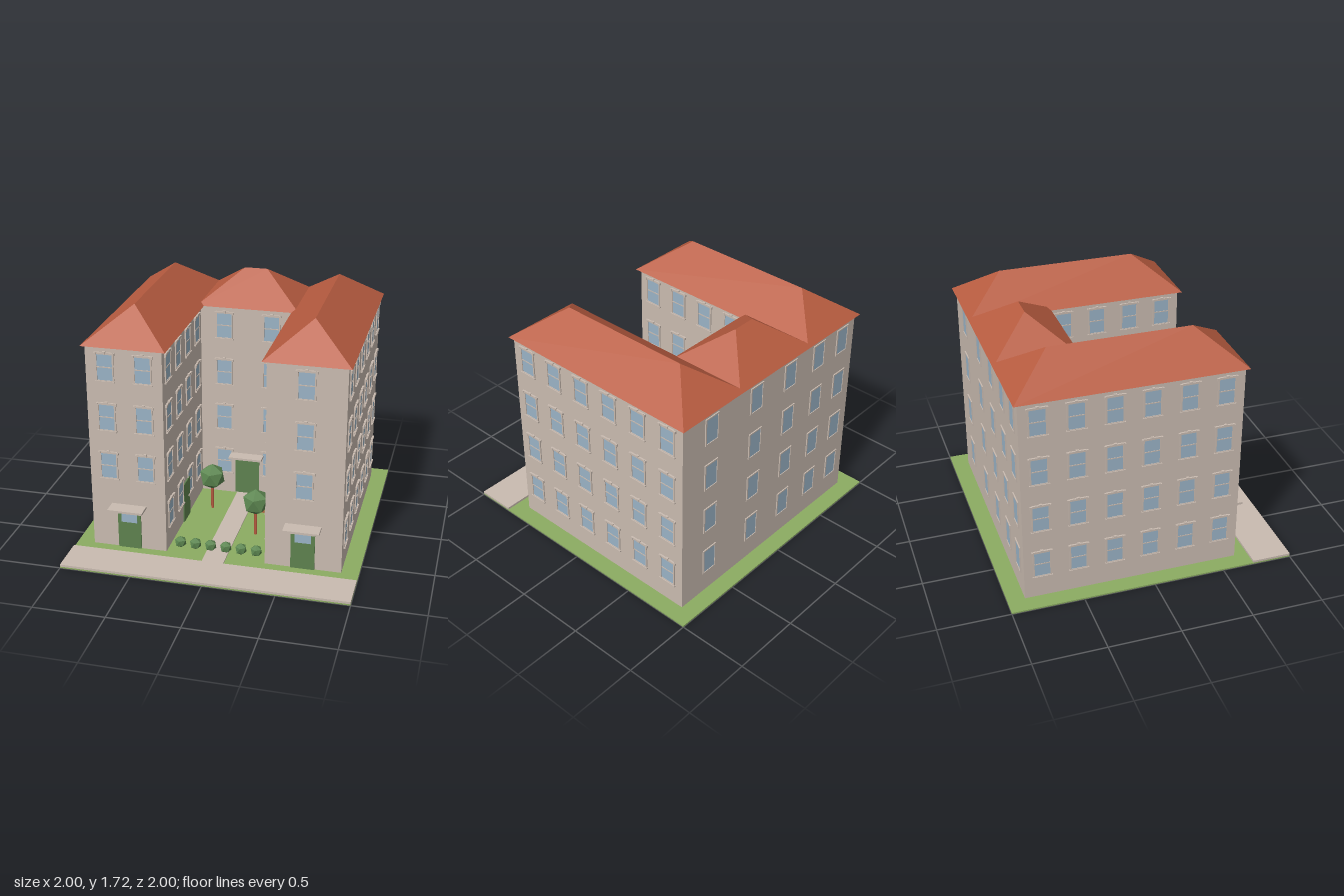
import * as THREE from 'three';
import { mergeGeometries } from 'three/addons/utils/BufferGeometryUtils.js';

const material = (name, color, flat = false) => {
  const m = new THREE.MeshStandardMaterial({ color, flatShading: flat });
  m.name = name;
  return m;
};

// Box geometry given by its limits
function boxGeo(x0, x1, y0, y1, z0, z1) {
  return new THREE.BoxGeometry(x1 - x0, y1 - y0, z1 - z0)
    .translate((x0 + x1) / 2, (y0 + y1) / 2, (z0 + z1) / 2);
}

// Hip roof with 45 degree hips in plan, closed underneath
function hipRoofGeo(x0, x1, z0, z1, y0, y1) {
  const w = x1 - x0, d = z1 - z0, r = Math.min(w, d) / 2;
  const a = [x0, y0, z0], b = [x1, y0, z0], c = [x1, y0, z1], e = [x0, y0, z1];
  const p = [x0 + r, y1, z0 + r], q = [x1 - r, y1, z1 - r];
  const tris = d > w
    ? [[b, a, p], [e, c, q], [c, b, p], [c, p, q], [a, e, q], [a, q, p]]
    : [[a, e, p], [c, b, q], [e, c, q], [e, q, p], [b, a, p], [b, p, q]];
  tris.push([a, b, c], [a, c, e]);
  const geo = new THREE.BufferGeometry();
  geo.setAttribute('position', new THREE.Float32BufferAttribute(tris.flat(2), 3));
  geo.computeVertexNormals();
  return geo;
}

// Rectangular frame around the glass, on z = 0
function frameGeo(w, h, border, depth) {
  const rect = (P, a, b) => {
    const s = new P();
    s.moveTo(-a, -b); s.lineTo(a, -b); s.lineTo(a, b); s.lineTo(-a, b); s.closePath();
    return s;
  };
  const shape = rect(THREE.Shape, w / 2 + border, h / 2 + border);
  shape.holes.push(rect(THREE.Path, w / 2, h / 2));
  return new THREE.ExtrudeGeometry(shape, { depth, bevelEnabled: false });
}

export function createModel() {
  const stone = material('stone', 0xc9bbb0);
  const tile = material('roof tile', 0xb85c40);
  const grass = material('grass', 0x8cac62);
  const glass = material('window glass', 0x9ab3c6);
  const green = material('door green', 0x5e824f);
  const leaf = material('leaf', 0x5c8650, true);

  const model = new THREE.Group();
  const add = (parent, name, geo, mat) => {
    const m = new THREE.Mesh(geo, mat);
    m.name = name;
    parent.add(m);
    return m;
  };
  const box = (name, mat, ...b) => add(model, name, boxGeo(...b), mat);

  // Grounds
  box('lawn', grass, -1, 1, 0, 0.01, -1, 1);
  box('pavement', stone, -1, 1, 0.01, 0.026, 0.725, 1);
  box('path', stone, -0.076, 0.076, 0.01, 0.018, -0.35, 0.725);

  // Walls and roofs
  for (const s of [-1, 1]) {
    box('wingWalls', stone, Math.min(s * 0.35, s * 0.88), Math.max(s * 0.35, s * 0.88), 0.01, 1.5, -0.88, 0.63);
    add(model, 'wingRoof', hipRoofGeo(s * 0.6125 - 0.2925, s * 0.6125 + 0.2925, -0.907, 0.655, 1.5, 1.72), tile);
  }
  box('middleWalls', stone, -0.35, 0.35, 0.01, 1.5, -0.88, -0.35);
  add(model, 'middleRoof', hipRoofGeo(-0.375, 0.375, -0.907, -0.322, 1.5, 1.72), tile);

  // Windows: frame, sash bar, sill, lintel with end blocks and keystone
  const W = 0.107, H = 0.185;
  const frame = frameGeo(W, H, 0.01, 0.008);
  const trim = mergeGeometries([
    boxGeo(-W / 2, W / 2, -0.003, 0.004, 0.001, 0.006),
    boxGeo(-0.069, 0.069, -0.107, -0.097, 0, 0.014),
    boxGeo(-0.062, 0.062, 0.092, 0.106, 0, 0.012),
    boxGeo(-0.072, -0.056, 0.086, 0.104, 0, 0.014),
    boxGeo(0.056, 0.072, 0.086, 0.104, 0, 0.014),
    boxGeo(-0.01, 0.01, 0.096, 0.113, 0, 0.015),
  ]);
  const pane = boxGeo(-W / 2, W / 2, -H / 2, H / 2, 0, 0.003);
  const rows = [0.272, 0.634, 0.995, 1.356];

  function window_(x, y, z, turn, ornate = true) {
    const g = new THREE.Group();
    g.name = 'window';
    add(g, 'windowFrame', frame, stone);
    add(g, 'windowPane', pane, glass);
    if (ornate) add(g, 'windowTrim', trim, stone);
    g.position.set(x, y, z);
    g.rotation.y = turn;
    model.add(g);
  }

  const quarter = Math.PI / 2;
  const wingX = [-0.745, -0.483, 0.6125];
  rows.forEach((y, floor) => {
    // Front of the wings, above the doors, and the courtyard wall
    if (floor > 0) wingX.forEach((x) => window_(x, y, 0.63, 0));
    [-0.175, 0.175].forEach((x) => window_(x, y, -0.35, 0));
    // Plain windows on the back
    [...wingX, -0.175, 0.175].forEach((x) => window_(x, y, -0.88, Math.PI, false));
    for (const s of [-1, 1]) {
      // Outer sides, then the sides facing the courtyard
      for (let i = 0; i < 6; i++) window_(s * 0.88, y, 0.504 - i * 0.2517, s * quarter);
      for (let i = 0; i < 4; i++) window_(s * 0.35, y, 0.5075 - i * 0.245, -s * quarter);
    }
  });

  // Doors and canopies
  for (const x of [-0.6125, 0.6125]) {
    box('frontDoor', green, x - 0.083, x + 0.083, 0.01, 0.31, 0.63, 0.639);
    box('doorPane', glass, x - 0.057, x + 0.057, 0.21, 0.298, 0.638, 0.642);
    box('canopy', stone, x - 0.124, x + 0.124, 0.328, 0.344, 0.63, 0.738);
  }
  box('courtyardDoor', green, -0.092, 0.092, 0.018, 0.31, -0.35, -0.341);
  box('canopy', stone, -0.124, 0.124, 0.328, 0.344, -0.35, -0.258);
  for (const s of [-1, 1]) {
    const a = s * 0.35, b = s * 0.341;
    box('sideDoor', green, Math.min(a, b), Math.max(a, b), 0.01, 0.31, 0.045, 0.2);
  }

  // Trees and hedge: icosahedra standing on a corner
  const crown = new THREE.IcosahedronGeometry(1, 0)
    .rotateZ(Math.atan(2 / (1 + Math.sqrt(5)))).rotateY(quarter);
  const ball = (name, x, y, z, r) => {
    const m = add(model, name, crown, leaf);
    m.position.set(x, y, z);
    m.scale.setScalar(r);
  };
  for (const [x, z] of [[-0.2, -0.068], [0.2, 0.247]]) {
    const trunk = add(model, 'treeTrunk', new THREE.CylinderGeometry(0.011, 0.011, 0.2, 8), tile);
    trunk.position.set(x, 0.11, z);
    ball('treeCrown', x, 0.27, z, 0.1);
  }
  for (let i = 0; i < 6; i++) ball('hedgeBush', -0.272 + i * 0.1088, 0.05, 0.546, 0.044);

  // Bench
  box('benchSeat', tile, 0.145, 0.202, 0.06, 0.07, -0.252, -0.055);
  for (const z of [-0.235, -0.085]) box('benchLeg', tile, 0.153, 0.194, 0.01, 0.06, z, z + 0.012);

  return model;
}
